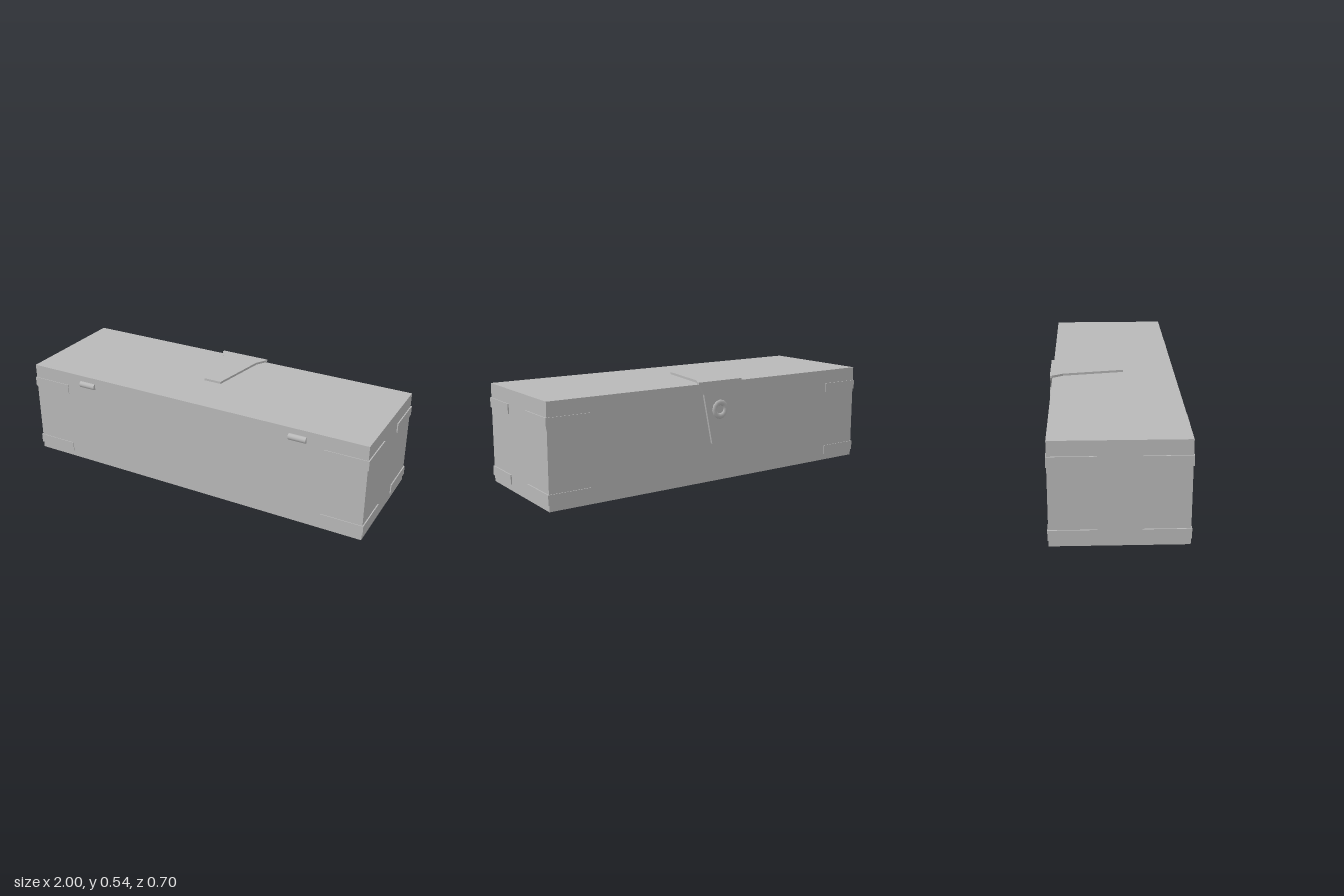
import * as THREE from 'three';

export function createModel() {
  const model = new THREE.Group();
  model.name = 'chest';
  const grey = new THREE.MeshStandardMaterial({ color: 0xb8b8b8 });
  grey.name = 'plain grey';

  function add(geometry, name, x, y, z, parent = model) {
    const mesh = new THREE.Mesh(geometry, grey);
    mesh.name = name;
    mesh.position.set(x, y, z);
    parent.add(mesh);
    return mesh;
  }
  // Box given by its lower and upper corners
  function block(name, x0, x1, y0, y1, z0, z1, parent) {
    const size = [x1 - x0, y1 - y0, z1 - z0].map(Math.abs);
    return add(new THREE.BoxGeometry(...size), name, (x0 + x1) / 2, (y0 + y1) / 2, (z0 + z1) / 2, parent);
  }

  // Body
  const back = -0.327, front = 0.332, end = 0.994, top = 0.53;
  block('body', -end, end, 0, top, back, front);

  // Thin straps wrapped around each vertical edge, near the top and bottom
  for (const sx of [-1, 1]) {
    for (const [y0, y1] of [[0.033, 0.085], [0.402, 0.454]]) {
      for (const [face, outer, inner] of [[front, 0.336, 0.107], [back, -0.331, -0.1]]) {
        const strap = new THREE.Group();
        strap.name = 'cornerStrap';
        model.add(strap);
        block('strapLongSide', sx * 0.77, sx * 1.0, y0, y1, face, outer, strap);
        block('strapEnd', sx * end, sx * 1.0, y0, y1, inner, outer, strap);
      }
    }
  }

  // Hinge barrels on the front
  for (const x of [-0.632, 0.628]) {
    const barrel = new THREE.CylinderGeometry(0.017, 0.017, 0.095, 12).rotateZ(Math.PI / 2);
    add(barrel, 'hinge', x, 0.481, front);
  }

  // Tapered clasp leaf: half widths along its length, mirrored
  function leaf(rows, depth) {
    const right = rows.map(([w, d]) => new THREE.Vector2(w, d));
    const left = rows.map(([w, d]) => new THREE.Vector2(-w, d)).reverse();
    return new THREE.ExtrudeGeometry(new THREE.Shape([...right, ...left]), { depth, bevelEnabled: false });
  }
  const clasp = new THREE.Group();
  clasp.name = 'clasp';
  model.add(clasp);

  // Upper leaf lies on the lid, narrowing toward the front
  const lidLeaf = leaf([[0.14, 0.34], [0.14, 0.33], [0.105, 0.27], [0.05, -0.055]], 0.012);
  add(lidLeaf.rotateX(-Math.PI / 2), 'claspTop', 0, top, 0, clasp);

  // Lower leaf hangs down the back
  const backLeaf = leaf([[0.14, 0.542], [0.14, 0.532], [0.105, 0.475], [0.05, 0.207]], 0.012);
  add(backLeaf, 'claspBack', 0, 0, -0.339, clasp);

  // Lock ring on the back leaf
  const ring = new THREE.TorusGeometry(0.037, 0.015, 8, 12).scale(1, 1, 0.55);
  add(ring, 'lockRing', 0, 0.388, -0.339, clasp);

  return model;
}
